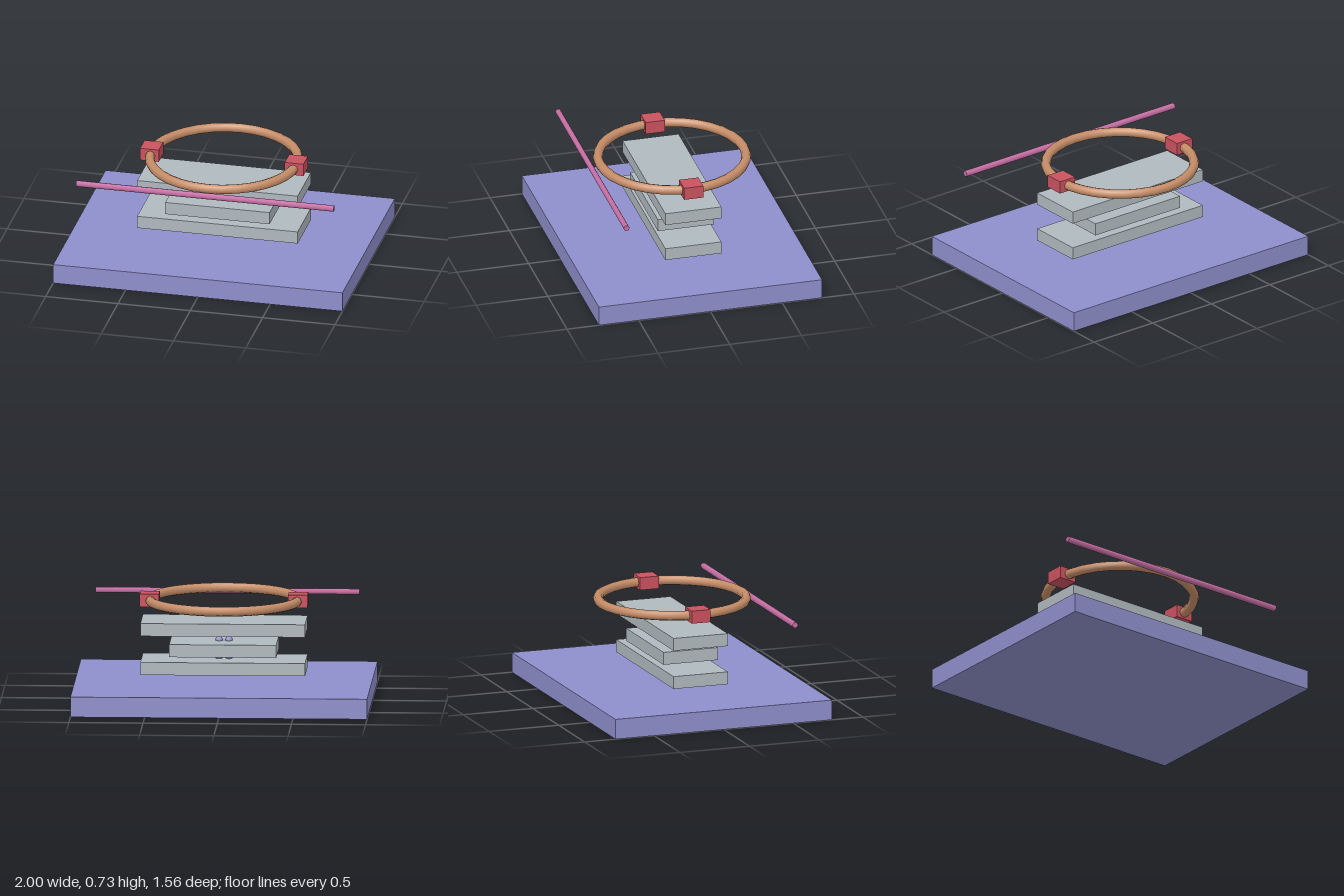
import * as THREE from 'three';

export function createModel() {
  const group = new THREE.Group();
  const mat = (name, color, flatShading = false) =>
    Object.assign(new THREE.MeshStandardMaterial({ color, flatShading }), { name });
  const lavender = mat('lavender', 0x8e8ecb);
  const grey = mat('grey', 0xb0b9be);
  const copper = mat('copper', 0xc68d68);
  const red = mat('red', 0xc9525f);
  const pink = mat('pink', 0xc870a6);

  const add = (name, geometry, material, x, y, z) => {
    const mesh = new THREE.Mesh(geometry, material);
    mesh.name = name;
    mesh.position.set(x, y, z);
    group.add(mesh);
    return mesh;
  };

  // Base plate
  add('basePlate', new THREE.BoxGeometry(2, 0.137, 1.556), lavender, 0, 0.0685, 0);

  // Stack of three floating slabs, the middle one shorter
  [['lowerSlab', 1.11, 0.237], ['middleSlab', 0.722, 0.36], ['upperSlab', 1.11, 0.502]]
    .forEach(([name, width, y]) =>
      add(name, new THREE.BoxGeometry(width, 0.086, 0.39), grey, 0, y, 0));

  // Two pairs of small balls between the slabs
  const ball = new THREE.SphereGeometry(0.026, 12, 8);
  for (const y of [0.295, 0.405])
    for (const x of [-0.033, 0.033]) add('ball', ball, lavender, x, y, 0);

  // Horizontal ring with a block clamped on each side
  const ring = new THREE.TorusGeometry(0.5, 0.033, 8, 32).rotateX(-Math.PI / 2);
  add('ring', ring, copper, 0, 0.68, 0);
  const block = new THREE.BoxGeometry(0.13, 0.087, 0.134);
  add('leftBlock', block, red, 0.5, 0.682, 0);
  add('rightBlock', block, red, -0.5, 0.682, 0);

  // Six-sided rod in front of the ring
  const rod = new THREE.CylinderGeometry(0.021, 0.021, 1.78, 6).rotateZ(Math.PI / 2);
  add('rod', rod, pink, 0, 0.65, 0.555);

  return group;
}
